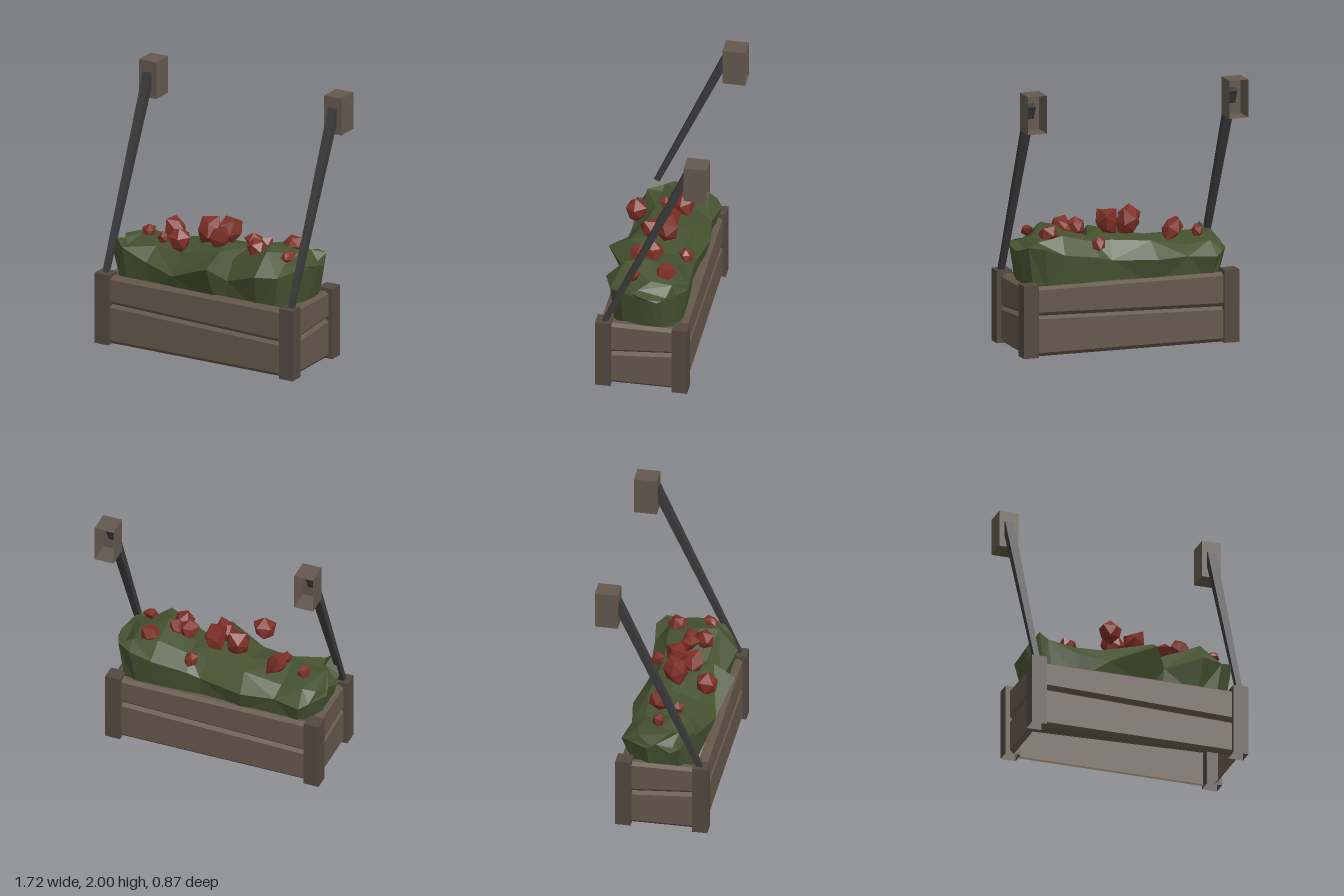
import * as THREE from 'three';

const mat = (color) => new THREE.MeshStandardMaterial({ color, flatShading: true, side: THREE.DoubleSide });
const postWood = mat(0x52483f), blockWood = mat(0x63584e), plankWood = mat(0x64574a);
const iron = mat(0x3a3a3a), leaf = mat(0x455230), petal = mat(0x7d3026);

function add(parent, name, geometry, material, x = 0, y = 0, z = 0) {
  const mesh = new THREE.Mesh(geometry, material);
  mesh.name = name;
  mesh.position.set(x, y, z);
  parent.add(mesh);
  return mesh;
}

// Skin over rings [x, y, z][] that follow +x, each going top, front, bottom, back.
// A closed skin wraps around and is capped; an open one is a bent sheet.
function loft(rings, closed) {
  const n = rings[0].length, index = [];
  rings.slice(1).forEach((_, i) => {
    for (let j = 0; j < (closed ? n : n - 1); j++) {
      const k = (j + 1) % n, a = i * n + j, b = i * n + k, c = b + n, d = a + n;
      if ((i + j) % 2) index.push(a, b, d, b, c, d);
      else index.push(a, b, c, a, c, d);
    }
  });
  const last = (rings.length - 1) * n;
  for (let j = 1; closed && j < n - 1; j++) {
    index.push(0, j + 1, j, last, last + j, last + j + 1);
  }
  const g = new THREE.BufferGeometry();
  g.setAttribute('position', new THREE.Float32BufferAttribute(rings.flat(2), 3));
  g.setIndex(index);
  const flat = g.toNonIndexed();
  flat.computeVertexNormals();
  return flat;
}

// Hollow box with one side missing (0..5 = +x, -x, +y, -y, +z, -z)
function openBox(w, h, d, missing) {
  const g = new THREE.BoxGeometry(w, h, d);
  const index = Array.from(g.index.array);
  index.splice(missing * 6, 6);
  g.clearGroups();
  g.setIndex(index);
  return g;
}

// Bevelled board shell, open at the inside; lower and upper edges given at both ends
function plank(length, lo, hi) {
  return loft([0, 1].map((e) => {
    const x = (e - 0.5) * length;
    return [
      [x, hi[e], -0.065], [x, hi[e], -0.03], [x, hi[e] - 0.02, 0],
      [x, lo[e] + 0.03, 0], [x, lo[e], -0.03],
    ];
  }), false);
}

// One wall: two boards meeting at a slanted seam
function wall(name, length, seam) {
  const g = new THREE.Group();
  g.name = name;
  add(g, 'lowerPlank', plank(length, [0, 0], seam), plankWood);
  add(g, 'upperPlank', plank(length, seam, [0.52, 0.52]), plankWood);
  return g;
}

function planter() {
  const g = new THREE.Group();
  g.name = 'planterBox';
  for (const sx of [-1, 1]) {
    for (const sz of [-1, 1]) {
      add(g, 'cornerPost', openBox(0.117, 0.545, 0.115, 3), postWood, sx * 0.784, 0.2725, sz * 0.286);
    }
  }
  for (const half of [0, 1]) {
    const long = wall('longWall', 1.46, [0.305, 0.265]);
    long.rotation.y = half * Math.PI;
    long.position.z = half ? -0.318 : 0.315;
    const short = wall('endWall', 0.46, [0.27, 0.305]);
    short.rotation.y = Math.PI / 2 + half * Math.PI;
    short.position.x = half ? -0.81 : 0.81;
    g.add(long, short);
  }
  g.position.set(-0.004, 0, 0.0575);
  return g;
}

// Slanted bar rising back to a hollow wall block
function hanger(side) {
  const g = new THREE.Group();
  g.name = side > 0 ? 'leftHanger' : 'rightHanger';
  const low = new THREE.Vector3(0, 0.47, 0.367), high = new THREE.Vector3(0, 1.905, -0.282);
  const dir = high.clone().sub(low), mid = low.clone().add(high).multiplyScalar(0.5);
  const bar = new THREE.CylinderGeometry(0.048, 0.029, dir.length(), 4);
  bar.rotateY(Math.PI / 4).scale(1, 1, 0.9).rotateX(Math.atan2(dir.z, dir.y));
  add(g, 'bar', bar, iron, side * 0.788, mid.y, mid.z);
  add(g, 'wallBlock', openBox(0.148, 0.285, 0.171, 5), blockWood, side * 0.788, 1.8575, -0.35);
  return g;
}

// Craggy foliage: x, back z, front z, back y, crest y, front y
const foliage = [
  [-0.82, -0.06, 0.19, 0.67, 0.70, 0.69],
  [-0.74, -0.22, 0.27, 0.68, 0.78, 0.80],
  [-0.68, -0.27, 0.29, 0.65, 0.77, 0.74],
  [-0.47, -0.23, 0.30, 0.66, 0.77, 0.66],
  [-0.22, -0.27, 0.35, 0.66, 0.80, 0.61],
  [0.12, -0.21, 0.43, 0.67, 0.85, 0.75],
  [0.22, -0.22, 0.30, 0.70, 0.82, 0.64],
  [0.50, -0.24, 0.38, 0.74, 0.91, 0.74],
  [0.66, -0.26, 0.32, 0.80, 0.85, 0.74],
  [0.77, -0.20, 0.23, 0.81, 0.81, 0.79],
  [0.81, -0.10, 0.08, 0.77, 0.78, 0.77],
];

function bush() {
  return loft(foliage.map(([x, zb, zf, yb, yc, yf], i) => {
    const s = i % 2 ? 0.05 : -0.04, bx = x * 0.94;
    return [
      [x - s * 0.4, yc, 0.05 + s],
      [x + s * 0.4, yc - 0.03 + s * 0.4, zf * 0.62],
      [x, yf, zf],
      [bx, 0.46, Math.min(zf - 0.02, 0.3)],
      [bx, 0.46, Math.max(zb + 0.02, -0.21)],
      [x, yb, zb],
      [x - s * 0.4, yc - 0.03 - s * 0.3, zb * 0.55],
    ];
  }), true);
}

// Jagged blossom: an icosahedron with corners pushed in and out
function blossom(r, seed) {
  const g = new THREE.IcosahedronGeometry(r, 0), p = g.attributes.position, v = new THREE.Vector3();
  for (let i = 0; i < p.count; i++) {
    v.fromBufferAttribute(p, i);
    const wave = Math.sin(v.x / r * 7.1 + seed * 2.3) + Math.sin(v.y / r * 5.3 + v.z / r * 8.7 + seed);
    v.multiplyScalar(1 + 0.17 * wave);
    p.setXYZ(i, v.x, v.y, v.z);
  }
  g.rotateX(seed * 1.3).rotateY(seed * 0.7);
  g.computeVertexNormals();
  return g;
}

// Blossoms: x, y, z, radius
const blossoms = [
  [-0.62, 0.79, 0.00, 0.05], [-0.41, 0.84, -0.03, 0.1], [-0.43, 0.80, 0.10, 0.045],
  [-0.19, 0.87, 0.28, 0.085], [-0.09, 0.90, 0.02, 0.105], [0.07, 0.91, 0.00, 0.09],
  [0.06, 0.89, 0.12, 0.09], [0.21, 0.79, -0.16, 0.06], [0.31, 0.88, 0.05, 0.068],
  [0.40, 0.88, 0.04, 0.06], [0.39, 0.88, 0.15, 0.075], [0.56, 0.87, -0.07, 0.07],
  [0.65, 0.87, 0.16, 0.055],
];

export function createModel() {
  const model = new THREE.Group();
  model.name = 'flowerBox';
  model.add(planter(), hanger(-1), hanger(1));
  add(model, 'foliage', bush(), leaf);
  const flowers = new THREE.Group();
  flowers.name = 'blossoms';
  blossoms.forEach(([x, y, z, r], i) => add(flowers, 'blossom', blossom(r, i + 1), petal, x, y, z));
  model.add(flowers);
  return model;
}
